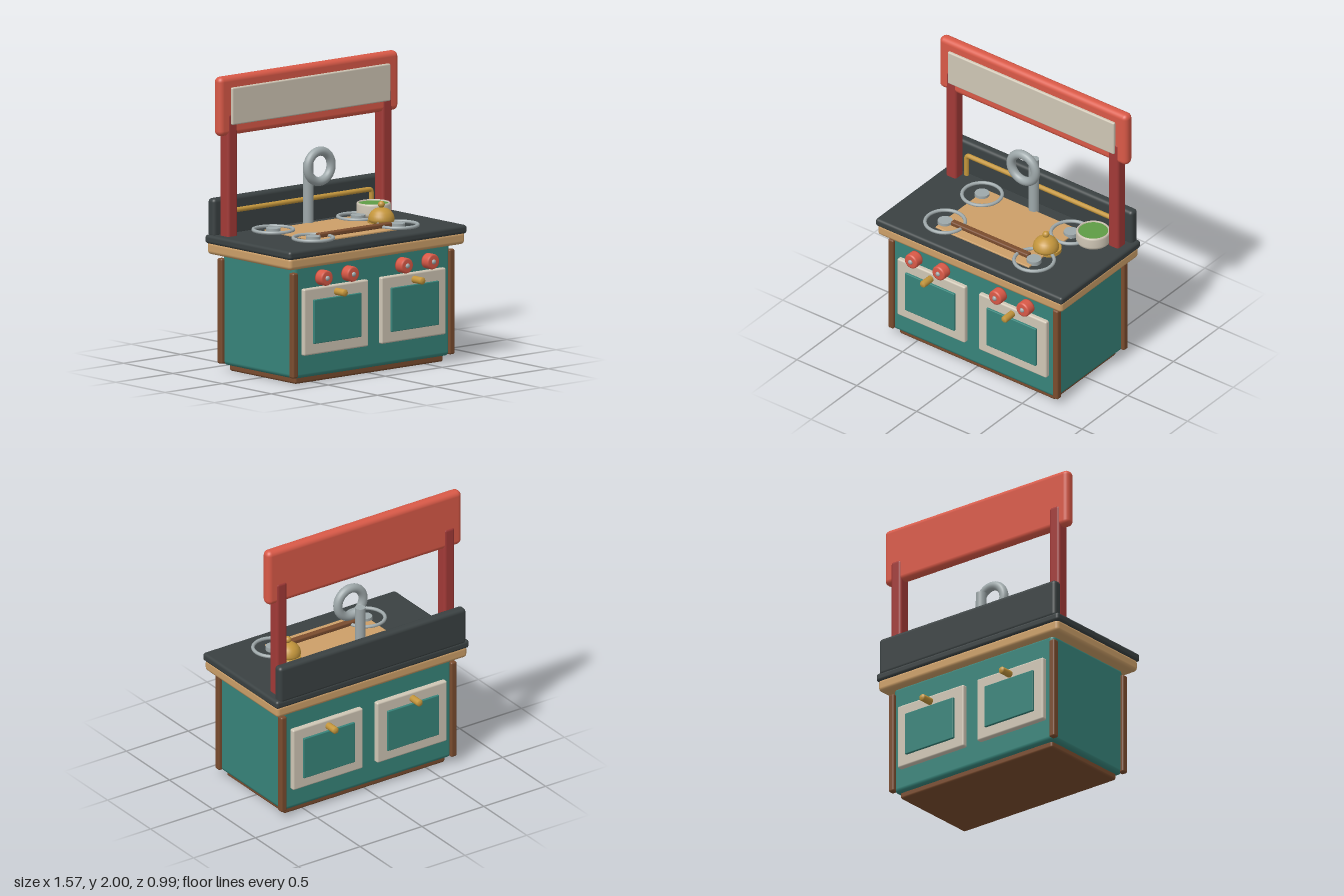
import * as THREE from 'three';
import { RoundedBoxGeometry } from 'three/addons/geometries/RoundedBoxGeometry.js';

const mat = (name, color) => new THREE.MeshStandardMaterial({ name, color });

export function createModel() {
  const model = new THREE.Group();
  model.name = 'playKitchen';

  const teal = mat('teal', 0x37847a);
  const wood = mat('lightWood', 0xcc9f68);
  const brown = mat('brownWood', 0x7a4c2e);
  const dark = mat('charcoal', 0x3a4142);
  const red = mat('red', 0xd95947);
  const deepRed = mat('deepRed', 0xa23a37);
  const cream = mat('cream', 0xcfc6b5);
  const gold = mat('gold', 0xc4963c);
  const silver = mat('silver', 0x9ea8aa);
  const green = mat('green', 0x5f9d45);

  const add = (name, geometry, material, x = 0, y = 0, z = 0, parent = model) => {
    const mesh = new THREE.Mesh(geometry, material);
    mesh.name = name;
    mesh.position.set(x, y, z);
    parent.add(mesh);
    return mesh;
  };
  // Rounded box given by its extents on each axis
  const box = (name, material, [x0, x1], [y0, y1], [z0, z1], r = 0.015, parent = model) =>
    add(name, new RoundedBoxGeometry(x1 - x0, y1 - y0, z1 - z0, 3, r), material,
      (x0 + x1) / 2, (y0 + y1) / 2, (z0 + z1) / 2, parent);
  const lathe = (points) =>
    new THREE.LatheGeometry(points.map(([x, y]) => new THREE.Vector2(x, y)), 40);

  // Cabinet
  box('plinth', brown, [-0.65, 0.65], [0, 0.08], [-0.335, 0.34], 0.015);
  box('cabinetBody', teal, [-0.685, 0.685], [0.04, 0.81], [-0.365, 0.37], 0.03);
  for (const sx of [-1, 1]) {
    for (const sz of [-1, 1]) {
      const post = box('cornerTrim', brown, [-0.023, 0.023], [0.05, 0.76], [-0.024, 0.024], 0.012);
      post.position.x = sx * 0.687;
      post.position.z = sz * 0.364;
    }
  }

  // Worktop and splashback
  box('worktopEdge', wood, [-0.77, 0.77], [0.79, 0.875], [-0.425, 0.425], 0.025);
  box('worktop', dark, [-0.78, 0.78], [0.862, 0.92], [-0.435, 0.435], 0.02);
  box('splashback', dark, [-0.755, 0.755], [0.9, 1.165], [-0.435, -0.365], 0.025);

  // Doors with window and handle, front and back
  for (const side of [1, -1]) {
    const doors = new THREE.Group();
    doors.name = side > 0 ? 'frontDoors' : 'backDoors';
    doors.rotation.y = side > 0 ? 0 : Math.PI;
    model.add(doors);
    for (const sx of [-1, 1]) {
      const door = new THREE.Group();
      door.name = 'door';
      door.position.x = sx * 0.34;
      doors.add(door);
      box('doorFrame', cream, [-0.283, 0.283], [0.195, 0.645], [0.35, 0.4], 0.012, door);
      box('doorWindow', teal, [-0.207, 0.207], [0.27, 0.567], [0.38, 0.415], 0.005, door);
      const handle = lathe([[0, 0], [0.024, 0], [0.024, 0.1], [0.018, 0.108], [0, 0.11]]);
      handle.rotateX(Math.PI / 2);
      add('doorHandle', handle, gold, 0, 0.6, 0.385, door);
    }
  }

  // Control knobs
  for (const x of [-0.468, -0.238, 0.235, 0.465]) {
    const knob = lathe([[0, 0], [0.052, 0], [0.052, 0.01], [0.052, 0.055], [0.049, 0.064],
      [0.04, 0.067], [0, 0.067]]);
    knob.rotateX(Math.PI / 2);
    add('knob', knob, red, x, 0.71, 0.388);
    const cap = new THREE.SphereGeometry(0.017, 20, 12);
    cap.scale(1, 1, 0.8);
    add('knobCap', cap, silver, x, 0.71, 0.455);
  }

  // Cutting board, utensil bar and burners
  box('cuttingBoard', wood, [-0.395, 0.385], [0.91, 0.931], [-0.275, 0.278], 0.006);
  box('utensilBar', brown, [-0.325, 0.32], [0.928, 0.96], [0.163, 0.207], 0.01);
  for (const x of [-0.373, 0.37]) {
    for (const z of [-0.205, 0.2]) {
      const ring = new THREE.TorusGeometry(0.134, 0.012, 12, 48);
      ring.rotateX(Math.PI / 2);
      add('burnerRing', ring, silver, x, 0.937, z);
      add('burnerCap', new THREE.CylinderGeometry(0.049, 0.049, 0.03, 32), silver, x, 0.935, z);
    }
  }

  // Domed cover on a small tray
  add('tray', new THREE.CylinderGeometry(0.085, 0.085, 0.025, 36), gold, 0.365, 0.933, 0.03);
  add('domeCover', lathe([[0, 0], [0.07, 0], [0.085, 0.012], [0.088, 0.027], [0.083, 0.052],
    [0.068, 0.076], [0.045, 0.093], [0.02, 0.101], [0, 0.103]]), gold, 0.355, 0.933, 0.05);
  add('domeKnob', new THREE.SphereGeometry(0.023, 20, 14), gold, 0.355, 1.056, 0.05);

  // Pot with green contents
  add('pot', lathe([[0, 0], [0.1, 0], [0.113, 0.012], [0.115, 0.025], [0.115, 0.08],
    [0.112, 0.09], [0.106, 0.094], [0.1, 0.09], [0.098, 0.07], [0, 0.07]]), cream, 0.533, 0.918, -0.235);
  add('potContents', new THREE.CylinderGeometry(0.099, 0.099, 0.02, 36), green, 0.533, 0.994, -0.235);

  // Rail in front of the splashback
  const rail = new THREE.CurvePath();
  const p = [[-0.61, 0.91], [-0.61, 1.05], [-0.585, 1.075], [0.585, 1.075], [0.61, 1.05], [0.61, 0.91]]
    .map(([x, y]) => new THREE.Vector3(x, y, -0.347));
  const corner = (x) => new THREE.Vector3(x, 1.075, -0.347);
  rail.add(new THREE.LineCurve3(p[0], p[1]));
  rail.add(new THREE.QuadraticBezierCurve3(p[1], corner(-0.61), p[2]));
  rail.add(new THREE.LineCurve3(p[2], p[3]));
  rail.add(new THREE.QuadraticBezierCurve3(p[3], corner(0.61), p[4]));
  rail.add(new THREE.LineCurve3(p[4], p[5]));
  add('utensilRail', new THREE.TubeGeometry(rail, 160, 0.017, 12), gold);

  // Faucet column and ring
  add('faucetColumn', new THREE.CylinderGeometry(0.035, 0.035, 0.425, 28), silver, 0, 1.1225, -0.283);
  add('faucetRing', new THREE.TorusGeometry(0.102, 0.031, 18, 48), silver, 0, 1.325, -0.168);

  // Sign board on two posts
  for (const sx of [-1, 1]) {
    const post = box('signPost', deepRed, [-0.043, 0.043], [0.9, 1.75], [-0.35, -0.26], 0.02);
    post.position.x = sx * 0.678;
  }
  box('signBoard', red, [-0.785, 0.785], [1.6, 2], [-0.344, -0.264], 0.035);
  box('signPanel', cream, [-0.695, 0.695], [1.673, 1.925], [-0.285, -0.246], 0.01);

  return model;
}
